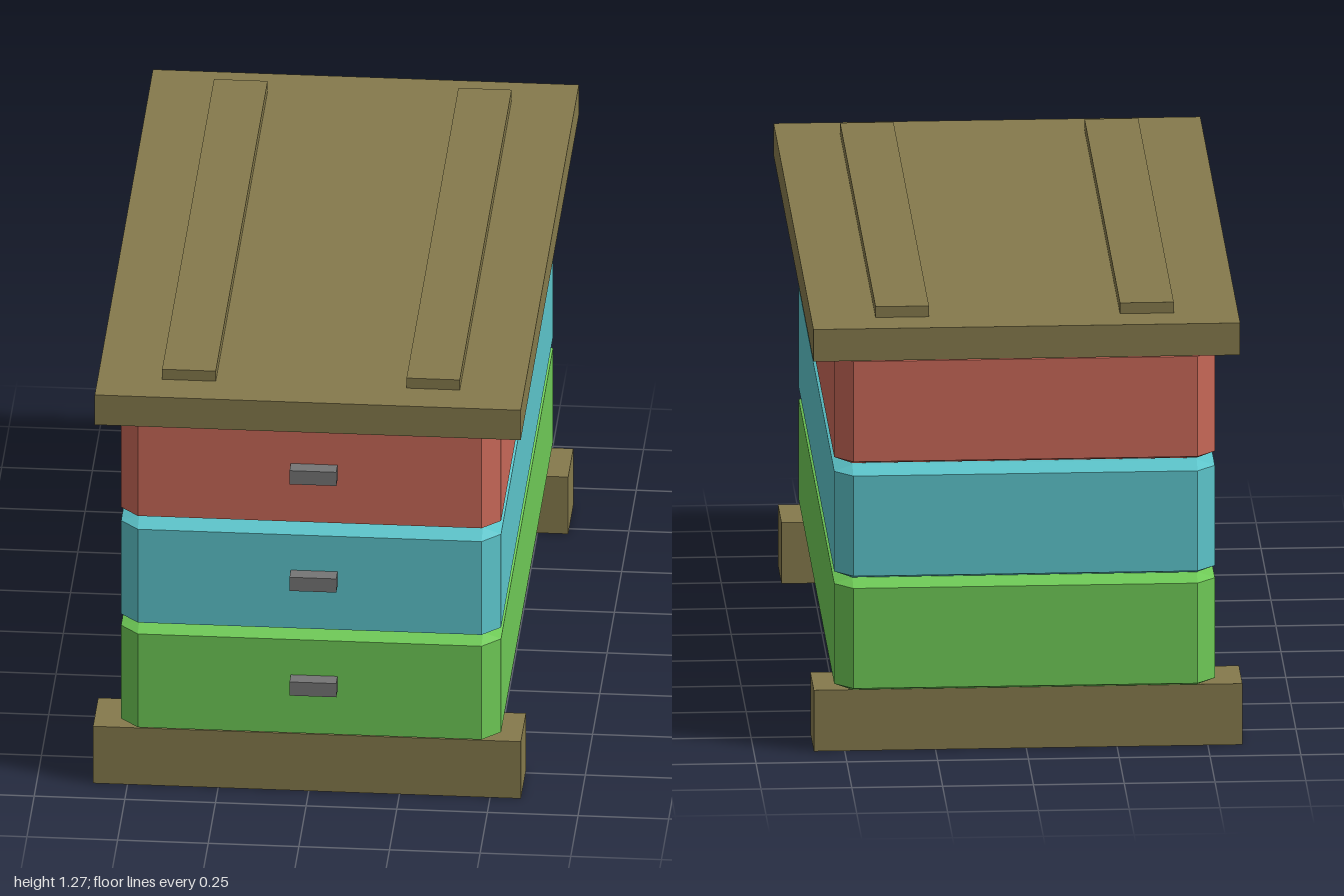
import * as THREE from 'three';
import { ConvexGeometry } from 'three/addons/geometries/ConvexGeometry.js';

const mat = (color) => new THREE.MeshStandardMaterial({ color, flatShading: true });
const wood = mat(0x857a4c);
const metal = mat(0x757575);

// Plain block given by its extents
function block(name, material, [x0, x1], [y0, y1], [z0, z1]) {
  const mesh = new THREE.Mesh(new THREE.BoxGeometry(x1 - x0, y1 - y0, z1 - z0), material);
  mesh.name = name;
  mesh.position.set((x0 + x1) / 2, (y0 + y1) / 2, (z0 + z1) / 2);
  return mesh;
}

// Box with every edge and corner chamfered: three points per corner
function chamferedBox(w, h, d, bx, by, bz) {
  const points = [];
  for (const sx of [-1, 1]) for (const sy of [-1, 1]) for (const sz of [-1, 1]) {
    const x = sx * w / 2, y = sy * h / 2, z = sz * d / 2;
    const ix = x - sx * bx, iy = y - sy * by, iz = z - sz * bz;
    points.push(
      new THREE.Vector3(x, iy, iz),
      new THREE.Vector3(ix, y, iz),
      new THREE.Vector3(ix, iy, z),
    );
  }
  return new ConvexGeometry(points);
}

export function createModel() {
  const hive = new THREE.Group();
  hive.name = 'beehive';

  // Two beams the hive rests on
  hive.add(block('frontBeam', wood, [-0.595, 0.585], [0, 0.175], [0.733, 0.908]));
  hive.add(block('backBeam', wood, [-0.595, 0.585], [0, 0.175], [-0.893, -0.718]));

  // Three stacked boxes, each with a handle on the front
  const geometry = chamferedBox(1.048, 0.323, 1.885, 0.05, 0.018, 0.05);
  const tiers = [['lower', 0x6ec956, 0.337], ['middle', 0x5cc4ca, 0.659], ['upper', 0xc86858, 0.987]];
  for (const [name, color, y] of tiers) {
    const box = new THREE.Mesh(geometry, mat(color));
    box.name = `${name}Box`;
    box.position.set(0.005, y, -0.002);
    hive.add(box);
    const hy = y + 0.014;
    hive.add(block(`${name}Handle`, metal, [-0.047, 0.082], [hy - 0.021, hy + 0.021], [0.93, 0.985]));
  }

  // Overhanging lid with two long battens
  hive.add(block('lid', wood, [-0.583, 0.592], [1.149, 1.241], [-1, 1]));
  hive.add(block('rightBatten', wood, [-0.406, -0.258], [1.23, 1.272], [-0.893, 0.89]));
  hive.add(block('leftBatten', wood, [0.268, 0.415], [1.23, 1.272], [-0.893, 0.89]));

  return hive;
}
